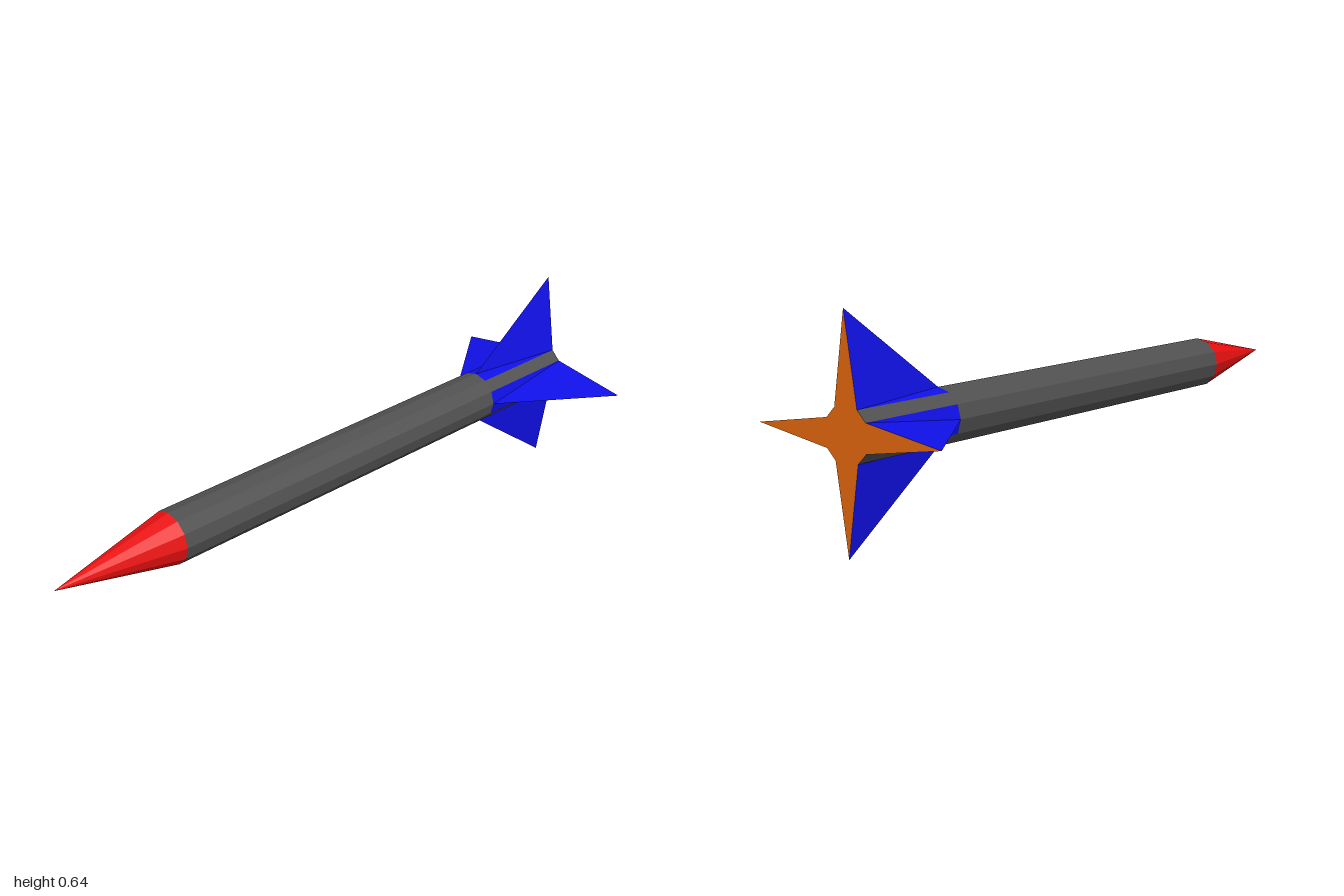
import * as THREE from 'three';

const RADIUS = 0.08, FIN_RADIUS = 0.322, CENTRE_Y = 0.322;
const NOSE_TIP = 1, NOSE_BASE = 0.613, FIN_FRONT = -0.658, TAIL = -1;
const STEP = Math.PI / 6; // twelve-sided hull

const material = (name, color) => {
  const m = new THREE.MeshStandardMaterial({ color, flatShading: true });
  m.name = name;
  return m;
};

// point on the hull, counted in steps clockwise from the top
const point = (step, z, r = RADIUS) => [r * Math.sin(step * STEP), r * Math.cos(step * STEP), z];

function facets(...corners) {
  const g = new THREE.BufferGeometry();
  g.setAttribute('position', new THREE.Float32BufferAttribute(corners.flat(), 3));
  g.computeVertexNormals();
  return g;
}

export function createModel() {
  const red = material('red', 0xe71010);
  const blue = material('blue', 0x1010e7);
  const grey = material('dark grey', 0x505050);
  const orange = material('orange', 0xe7690e);

  const group = new THREE.Group();
  group.name = 'rocket';
  const add = (name, geometry, mat) => {
    const mesh = new THREE.Mesh(geometry, mat);
    mesh.name = name;
    mesh.position.y = CENTRE_Y;
    group.add(mesh);
    return mesh;
  };

  // hull sections lie along z
  const section = (front, back, rFront) =>
    new THREE.CylinderGeometry(rFront, RADIUS, front - back, 12, 1, true)
      .rotateX(Math.PI / 2).translate(0, 0, (front + back) / 2);
  add('noseCone', section(NOSE_TIP, NOSE_BASE, 0), red);
  add('body', section(NOSE_BASE, FIN_FRONT, RADIUS), grey);

  // each fin grows out of two hull faces, its ridge rising to a tip at the tail
  const F = (s) => point(s, FIN_FRONT), B = (s) => point(s, TAIL);
  const tip = point(0, TAIL, FIN_RADIUS);
  const fin = facets(
    F(0), F(1), B(1), F(0), B(1), tip,
    F(0), B(-1), F(-1), F(0), tip, B(-1));
  // hull strip left between two fins
  const strip = facets(F(1), F(2), B(2), F(1), B(2), B(1));

  ['top', 'left', 'bottom', 'right'].forEach((side, i) => {
    add(side + 'Fin', fin, blue).rotation.z = -i * Math.PI / 2;
    add('tailStrip' + (i + 1), strip, grey).rotation.z = -i * Math.PI / 2;
  });

  // star-shaped end face
  const outline = Array.from({ length: 12 }, (_, i) => {
    const [x, y] = point(i, 0, i % 3 === 0 ? FIN_RADIUS : RADIUS);
    return new THREE.Vector2(x, y);
  });
  const end = new THREE.ShapeGeometry(new THREE.Shape(outline));
  add('exhaustFace', end.rotateY(Math.PI).translate(0, 0, TAIL), orange);

  return group;
}
